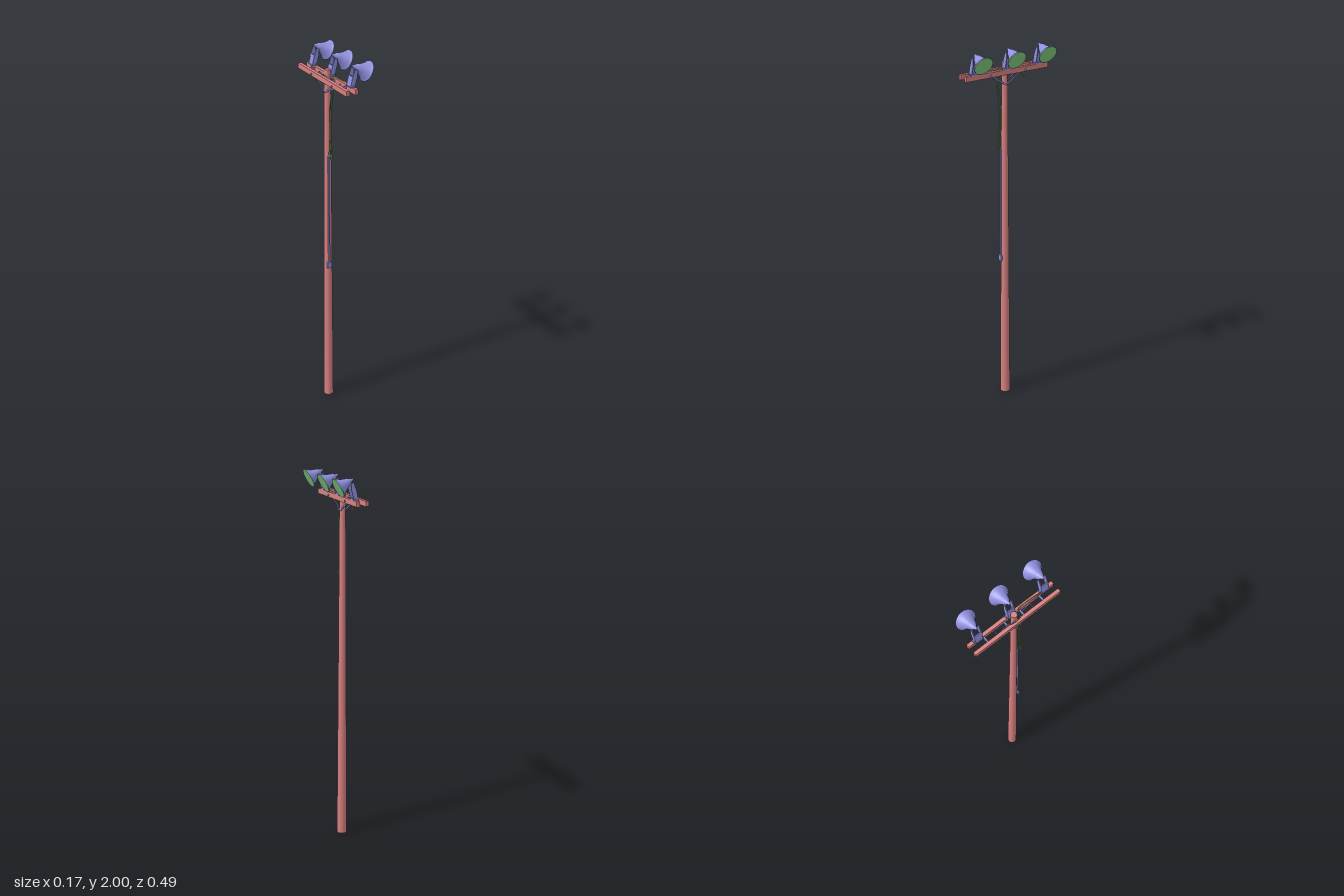
import * as THREE from 'three';

const mat = (color, side = THREE.FrontSide) => new THREE.MeshStandardMaterial({ color, side });

export function createModel() {
  const root = new THREE.Group();
  const wood = mat(0xd88080), metal = mat(0x9090e0, THREE.DoubleSide), green = mat(0x80cc80);
  const POLE_X = -0.047;

  const add = (parent, name, geo, material, x = 0, y = 0, z = 0) => {
    const m = new THREE.Mesh(geo, material);
    m.name = name;
    m.position.set(x, y, z);
    parent.add(m);
    return m;
  };
  const box = (parent, name, w, h, d, x, y, z, material = metal) =>
    add(parent, name, new THREE.BoxGeometry(w, h, d), material, x, y, z);
  // straight bar with a rectangular section between two points
  const bar = (name, a, b, w, h) => {
    const p = new THREE.Vector3(...a), q = new THREE.Vector3(...b);
    const m = box(root, name, w, h, p.distanceTo(q), 0, 0, 0);
    m.position.copy(p).add(q).multiplyScalar(0.5);
    m.lookAt(q);
  };
  const cable = (name, pts, r = 0.0022) => {
    const curve = new THREE.CatmullRomCurve3(pts.map(p => new THREE.Vector3(...p)));
    add(root, name, new THREE.TubeGeometry(curve, pts.length * 7, r, 6), green);
  };

  // tapered pole
  add(root, 'pole', new THREE.CylinderGeometry(0.0155, 0.027, 1.925, 20), wood, POLE_X, 0.9625, 0);

  // twin crossbeams
  for (const x of [-0.0715, -0.023])
    box(root, 'crossbeam', 0.018, 0.027, 0.494, x, 1.8785, 0, wood);

  // spacers between the beams
  for (const z of [-0.163, -0.046, 0.046, 0.16])
    box(root, 'spacer', 0.032, 0.012, 0.008, POLE_X, 1.8785, z);

  // through bolts with domed heads, and diagonal braces down to the pole
  for (const s of [-1, 1]) {
    const z = s * 0.105;
    add(root, 'bolt', new THREE.CylinderGeometry(0.0025, 0.0025, 0.07, 8), metal, POLE_X, 1.875, z)
      .rotation.z = Math.PI / 2;
    for (const side of [-1, 1]) {
      const head = add(root, 'boltHead', new THREE.SphereGeometry(0.0055, 10, 6), metal,
        POLE_X + side * 0.0345, 1.875, z);
      head.scale.x = 0.8;
      const x = POLE_X + side * 0.0135;
      bar('brace', [x, 1.876, z], [x, 1.812, s * 0.006], 0.003, 0.008);
    }
  }
  add(root, 'braceBolt', new THREE.CylinderGeometry(0.004, 0.004, 0.042, 8), metal, POLE_X, 1.812, 0)
    .rotation.z = Math.PI / 2;

  // floodlight: flared reflector, lens and yoke
  const bell = [[0.001, -0.096], [0.006, -0.087], [0.009, -0.077], [0.017, -0.066], [0.021, -0.056],
    [0.025, -0.045], [0.031, -0.032], [0.041, -0.017], [0.048, -0.006], [0.052, -0.005], [0.052, 0]]
    .map(([r, y]) => new THREE.Vector2(r, y));
  const cheek = new THREE.Shape([[-0.041, 1.892], [-0.016, 1.892], [-0.002, 1.945],
    [0.0, 1.975], [-0.014, 1.982], [-0.03, 1.94]].map(p => new THREE.Vector2(...p)));

  for (const z of [-0.19, -0.002, 0.194]) {
    const lamp = new THREE.Group();
    lamp.name = 'floodlight';
    lamp.position.z = z;
    root.add(lamp);

    const head = new THREE.Group();
    head.name = 'lampHead';
    head.position.set(0.061, 1.954, 0);
    head.rotation.z = -THREE.MathUtils.degToRad(117);
    lamp.add(head);
    add(head, 'reflector', new THREE.LatheGeometry(bell, 32), metal);
    add(head, 'lens', new THREE.CylinderGeometry(0.0505, 0.0505, 0.002, 32), green, 0, -0.001, 0);

    for (const side of [-1, 1])
      add(lamp, 'yokeCheek', new THREE.ExtrudeGeometry(cheek, { depth: 0.005, bevelEnabled: false }),
        metal, 0, 0, side * 0.019 - 0.0025);
    box(lamp, 'yokeWeb', 0.006, 0.055, 0.036, -0.031, 1.918, 0).rotation.z = -0.22;
    box(lamp, 'yokeFoot', 0.027, 0.005, 0.043, -0.0275, 1.8945, 0);
    // clamp around the beam
    box(lamp, 'clamp', 0.012, 0.01, 0.055, -0.022, 1.895, 0);
  }

  // conduit down the side of the pole, ending in a small box
  bar('conduit', [-0.053, 0.84, 0.0245], [-0.053, 1.47, 0.0215], 0.008, 0.008);
  box(root, 'junctionBox', 0.024, 0.032, 0.012, -0.053, 0.845, 0.025);

  // wiring from each lamp, bundled down to the conduit
  const drop = (x, dz) => [[x, 1.83, 0.047 + dz], [x, 1.74, 0.036 + dz], [x, 1.6, 0.031 + dz],
    [x - 0.003, 1.5, 0.04 + dz], [x - 0.005, 1.465, 0.046 + dz], [-0.053, 1.468, 0.034], [-0.053, 1.5, 0.027],
    [-0.053, 1.46, 0.022]];
  cable('backCable', [[-0.037, 1.9, -0.19], [-0.044, 1.87, -0.165], [-0.047, 1.836, -0.145],
    [-0.052, 1.832, -0.12], [-0.058, 1.86, -0.1], [-0.06, 1.898, -0.06], [-0.07, 1.898, -0.01],
    [-0.066, 1.896, 0.02], [-0.055, 1.875, 0.036], ...drop(-0.052, 0)]);
  cable('middleCable', [[-0.038, 1.9, 0], [-0.041, 1.892, 0.022], [-0.044, 1.865, 0.034],
    ...drop(-0.045, 0.004)]);
  cable('frontCable', [[-0.036, 1.9, 0.19], [-0.031, 1.903, 0.15], [-0.025, 1.896, 0.08],
    [-0.03, 1.896, 0.035], [-0.038, 1.87, 0.03], ...drop(-0.039, -0.004)]);

  return root;
}
